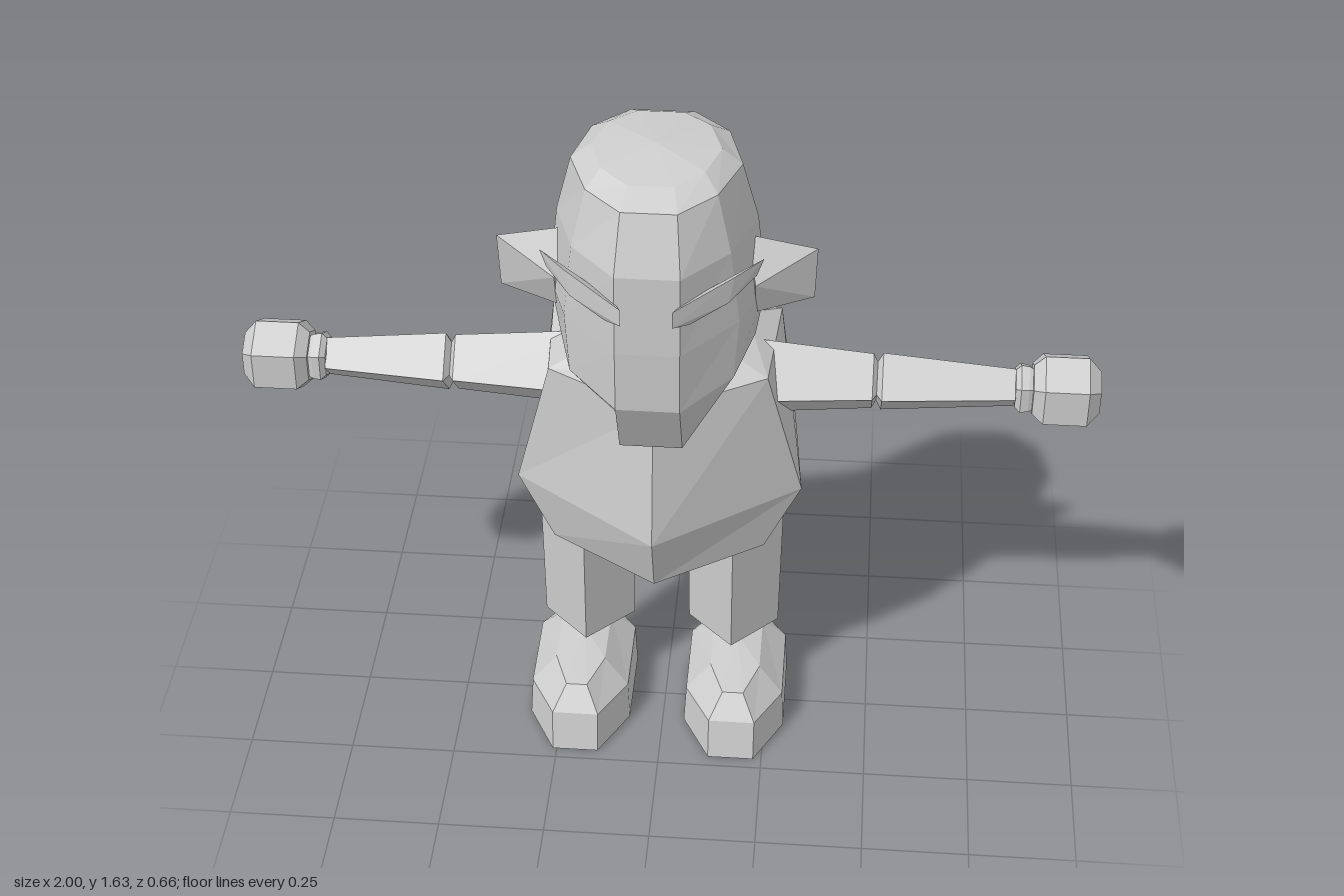
import * as THREE from 'three';
import { ConvexGeometry } from 'three/addons/geometries/ConvexGeometry.js';

const skin = new THREE.MeshStandardMaterial({ color: 0xcccccc, flatShading: true });
skin.name = 'light grey';

function part(name, geometry, parent) {
  const mesh = new THREE.Mesh(geometry, skin);
  mesh.name = name;
  parent.add(mesh);
  return mesh;
}

// Loft through half sections [x, y, z] (front to back), mirrored in x, listed bottom to top
function loft(halfRings, bottom, top) {
  const rings = halfRings.map((half) => [
    ...half,
    ...half.filter((p) => p[0] > 0).reverse().map(([x, y, z]) => [-x, y, z]),
  ]);
  const n = rings[0].length;
  const out = [];
  const tri = (a, b, c) => out.push(...a, ...b, ...c);
  for (let i = 0; i < n; i++) {
    const j = (i + 1) % n;
    tri(bottom, rings[0][j], rings[0][i]);
    for (let r = 0; r < rings.length - 1; r++) {
      const lo = rings[r], hi = rings[r + 1];
      tri(lo[i], lo[j], hi[j]);
      tri(lo[i], hi[j], hi[i]);
    }
    tri(rings[rings.length - 1][i], rings[rings.length - 1][j], top);
  }
  const g = new THREE.BufferGeometry();
  g.setAttribute('position', new THREE.Float32BufferAttribute(out, 3));
  g.computeVertexNormals();
  return g;
}

// Faceted limb from [radius, distance] pairs
const limb = (profile, sides, start = 0) =>
  new THREE.LatheGeometry(profile.map(([r, d]) => new THREE.Vector2(r, d)), sides, start);

const hull = (points, side) =>
  new ConvexGeometry(points.map(([x, y, z]) => new THREE.Vector3(x * side, y, z)));

export function createModel() {
  const model = new THREE.Group();
  model.name = 'figure';
  const trunk = new THREE.Group();
  trunk.name = 'trunk';
  trunk.position.x = -0.015;
  model.add(trunk);

  // Pear-shaped body with a ridge down the middle
  part('body', loft([
    [[0, 0.49, 0.16], [0.25, 0.51, 0.02], [0.26, 0.52, -0.25], [0, 0.54, -0.32]],
    [[0, 0.65, 0.22], [0.335, 0.67, 0], [0.31, 0.68, -0.275], [0, 0.7, -0.33]],
    [[0, 1.0, 0.175], [0.25, 1.01, 0.04], [0.27, 1.01, -0.25], [0, 1.0, -0.3]],
    [[0, 1.03, 0.08], [0.16, 1.05, 0], [0.19, 1.06, -0.15], [0, 1.07, -0.18]],
  ], [0, 0.46, -0.02], [0, 1.06, -0.06]), trunk);

  // Tall head with a narrow chin and flared nape
  part('head', loft([
    [[0.07, 0.945, 0.23], [0.09, 0.94, 0.1], [0.15, 1.02, 0.05], [0.19, 1.05, -0.1], [0.14, 1.06, -0.245]],
    [[0.07, 1.1, 0.31], [0.18, 1.13, 0.21], [0.22, 1.14, 0.05], [0.2, 1.13, -0.11], [0.12, 1.1, -0.23]],
    [[0.07, 1.25, 0.315], [0.19, 1.27, 0.2], [0.24, 1.26, 0.04], [0.18, 1.25, -0.13], [0.08, 1.22, -0.195]],
    [[0.07, 1.44, 0.31], [0.17, 1.45, 0.21], [0.22, 1.44, 0.04], [0.17, 1.46, -0.1], [0.08, 1.5, -0.16]],
    [[0.06, 1.57, 0.26], [0.14, 1.58, 0.19], [0.185, 1.58, 0.06], [0.15, 1.59, -0.06], [0.07, 1.6, -0.12]],
    [[0.05, 1.6, 0.2], [0.11, 1.61, 0.15], [0.14, 1.615, 0.06], [0.11, 1.62, -0.03], [0.05, 1.62, -0.08]],
  ], [0, 1.0, 0], [0, 1.63, 0.07]), trunk);

  for (const side of [1, -1]) {
    const label = side > 0 ? 'left' : 'right';

    // Ears widen from a six-sided root to a vertical outer edge
    part(label + 'Ear', hull([
      [0.2, 1.41, 0.07], [0.2, 1.37, 0.01], [0.2, 1.25, -0.02], [0.22, 1.2, 0.03],
      [0.22, 1.22, 0.085], [0.22, 1.31, 0.12], [0.352, 1.375, 0.06], [0.348, 1.24, 0.045],
    ], side), trunk);

    // Slanted brows
    part(label + 'Brow', hull([
      [0.055, 1.375, 0.333], [0.055, 1.335, 0.333], [0.09, 1.325, 0.3], [0.08, 1.37, 0.28],
      [0.24, 1.43, 0.195], [0.225, 1.39, 0.2], [0.18, 1.415, 0.25], [0.17, 1.355, 0.255],
    ], side), trunk);

    // Legs are square posts set corner-forward, tapering at the ankle
    part(label + 'Leg', limb([[0.001, 0.52], [0.001, 0.16], [0.035, 0.16], [0.11, 0.205], [0.115, 0.54]]
      .slice(1), 4), trunk).position.set(side * 0.178, 0, -0.07);

    // Shoes
    part(label + 'Foot', loft([
      [[0.055, 0, 0.22], [0.123, 0, 0.09], [0.123, 0, -0.13], [0.06, 0, -0.2]],
      [[0.055, 0.1, 0.2], [0.118, 0.095, 0.08], [0.118, 0.1, -0.13], [0.06, 0.11, -0.2]],
      [[0.025, 0.155, 0.155], [0.06, 0.16, 0.06], [0.06, 0.16, -0.11], [0.03, 0.16, -0.175]],
    ], [0, 0, 0], [0, 0.175, -0.04]), trunk).position.x = side * 0.19;

    // Arms run straight out along x, pinched at elbow and wrist
    const arm = new THREE.Group();
    arm.name = label + 'Arm';
    arm.position.set(0, 0.925, -0.09);
    arm.rotation.z = -side * Math.PI / 2;
    model.add(arm);
    const elbow = side > 0 ? 0.483 : 0.507;
    part(label + 'UpperArm', limb([[0, 0.15], [0.108, 0.16], [0.077, elbow - 0.01], [0.055, elbow]], 4), arm);
    part(label + 'Forearm', limb([[0.055, elbow], [0.08, elbow + 0.012], [0.052, 0.8], [0, 0.81]], 4), arm);
    part(label + 'Wrist', limb([[0, 0.795], [0.05, 0.8], [0.063, 0.812], [0.06, 0.83], [0.05, 0.85]], 6, Math.PI / 2), arm);
    part(label + 'Hand', limb([[0, 0.835], [0.065, 0.84], [0.09, 0.865], [0.09, 0.965], [0.055, 0.994], [0, 1]], 6, Math.PI / 2), arm);
  }
  return model;
}
